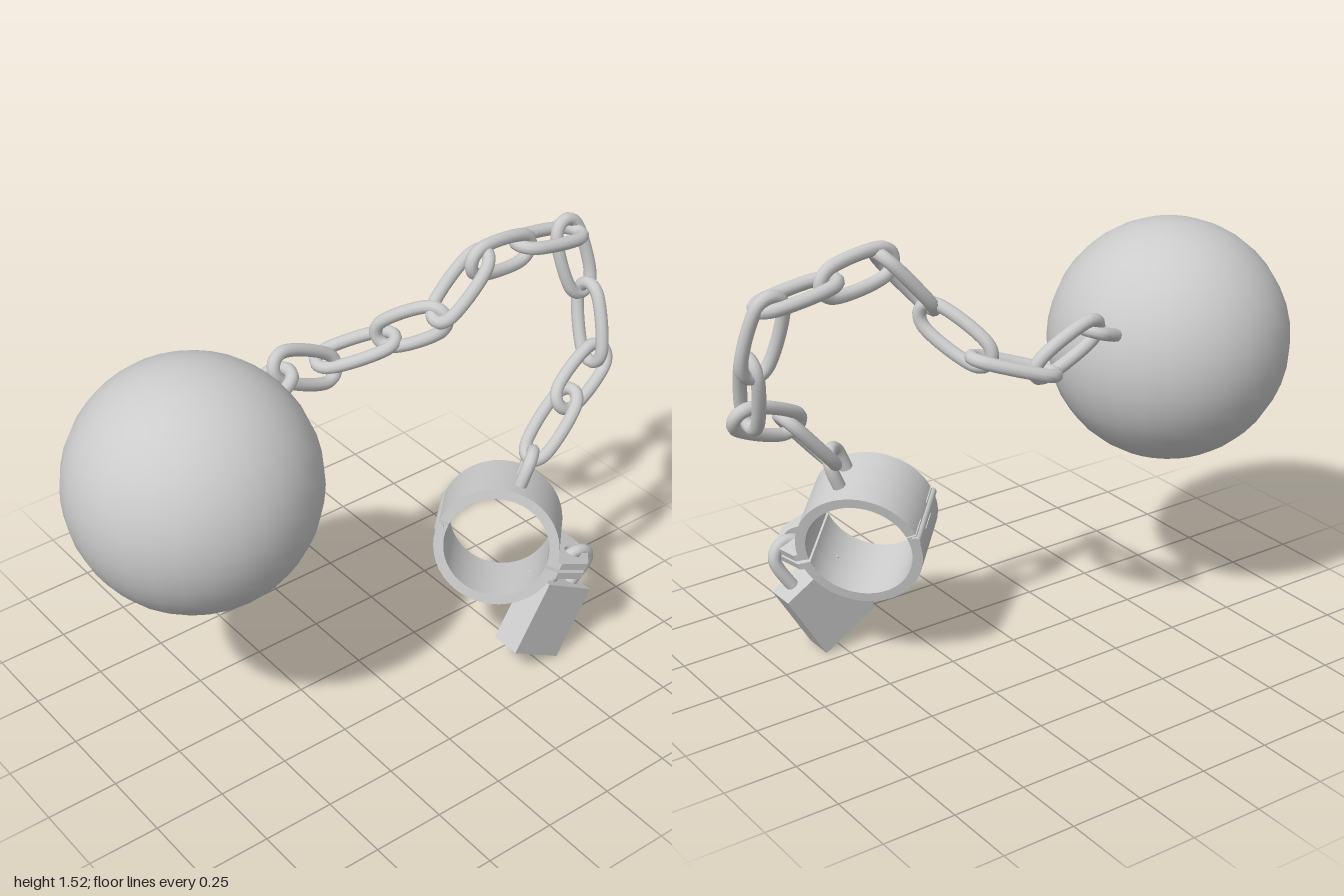
import * as THREE from 'three';
import { toCreasedNormals } from 'three/addons/utils/BufferGeometryUtils.js';

const V = (x, y, z = 0) => new THREE.Vector3(x, y, z);
const material = new THREE.MeshStandardMaterial({ color: 0xcccccc });
const TUBE = 0.022;

function mesh(name, geometry, parent) {
  const m = new THREE.Mesh(geometry, material);
  m.name = name;
  parent.add(m);
  return m;
}

// Place an object with its local x along xDir and its local y close to yHint
function orient(object, position, xDir, yHint) {
  const x = xDir.clone().normalize();
  const z = x.clone().cross(yHint).normalize();
  const y = z.clone().cross(x);
  object.quaternion.setFromRotationMatrix(new THREE.Matrix4().makeBasis(x, y, z));
  object.position.copy(position);
  return object;
}

// Closed oblong chain link, long along x and wide along y
function linkGeometry() {
  const points = [
    V(0.133, -0.018), V(0.133, 0.018), V(0.1, 0.046), V(-0.1, 0.046),
    V(-0.133, 0.018), V(-0.133, -0.018), V(-0.1, -0.046), V(0.1, -0.046),
  ];
  return new THREE.TubeGeometry(new THREE.CatmullRomCurve3(points, true), 56, TUBE, 10, true);
}

// Upside-down U of bent rod: half width w, centreline height h
function stapleGeometry(w, h) {
  const points = [V(-w, 0), V(-w, h - w)];
  for (let i = 1; i < 6; i++) {
    const t = Math.PI * (1 - i / 6);
    points.push(V(w * Math.cos(t), h - w + w * Math.sin(t)));
  }
  points.push(V(w, h - w), V(w, 0));
  return new THREE.TubeGeometry(new THREE.CatmullRomCurve3(points), 32, TUBE, 10);
}

// Sector of the cuff ring between two angles, from z0 to z0 + depth
function ringSector(inner, outer, start, end, z0, depth) {
  const shape = new THREE.Shape();
  shape.absarc(0, 0, outer, start, end, false);
  shape.absarc(0, 0, inner, end, start, true);
  const g = new THREE.ExtrudeGeometry(shape, { depth, bevelEnabled: false, curveSegments: 20 });
  g.translate(0, 0, z0);
  return toCreasedNormals(g, 0.6);
}

function createCuff() {
  const cuff = new THREE.Group();
  cuff.name = 'cuff';
  const R = 0.212, r = 0.178, half = 0.128, slice = (2 * half) / 3;

  // Two half shells whose edges interlock at the hinge
  for (let i = 0; i < 3; i++) {
    const hinge = Math.PI + (i === 1 ? 0.1 : -0.1);
    const z0 = -half + i * slice;
    mesh('upperCuffShell', ringSector(r, R, 0.03, hinge - 0.012, z0, slice), cuff);
    mesh('lowerCuffShell', ringSector(r, R, hinge + 0.012, 2 * Math.PI - 0.03, z0, slice), cuff);
  }

  // Hinge pin
  const pin = mesh('hingePin', new THREE.CylinderGeometry(0.016, 0.016, 2 * half + 0.016, 12), cuff);
  pin.rotation.x = Math.PI / 2;
  pin.position.x = -0.204;

  // Paired hasp plates with a hole for the shackle
  const plate = new THREE.Shape();
  plate.moveTo(0.195, -half);
  plate.lineTo(0.225, -half);
  plate.lineTo(0.315, -0.055);
  plate.lineTo(0.315, 0.055);
  plate.lineTo(0.225, half);
  plate.lineTo(0.195, half);
  plate.closePath();
  const hole = new THREE.Path();
  hole.absarc(0.262, 0, 0.033, 0, Math.PI * 2, true);
  plate.holes.push(hole);
  const plateGeometry = new THREE.ExtrudeGeometry(plate, { depth: 0.024, bevelEnabled: false, curveSegments: 10 });
  plateGeometry.rotateX(-Math.PI / 2);
  for (const y of [0.006, -0.03]) mesh('haspPlate', plateGeometry, cuff).position.y = y;

  // Staple that holds the chain, set along the cuff's axis
  const staple = mesh('cuffStaple', stapleGeometry(0.05, 0.13), cuff);
  staple.position.y = 0.19;
  staple.rotation.y = Math.PI / 2;
  return cuff;
}

function createPadlock() {
  const lock = new THREE.Group();
  lock.name = 'padlock';
  mesh('padlockBody', new THREE.BoxGeometry(0.23, 0.272, 0.108), lock);
  const shackle = mesh('shackle', stapleGeometry(0.056, 0.165), lock);
  shackle.position.y = 0.11;
  shackle.rotation.x = 0.2;
  return lock;
}

export function createModel() {
  const model = new THREE.Group();
  model.name = 'ballAndChain';

  // Iron ball and its staple
  const ballCentre = V(-0.595, 1.0, -0.065);
  mesh('ball', new THREE.SphereGeometry(0.41, 28, 20), model).position.copy(ballCentre);
  const out = V(0.903, 0.337, -0.268);
  const ballStaple = mesh('ballStaple', stapleGeometry(0.05, 0.13), model);
  orient(ballStaple, ballCentre.clone().addScaledVector(out, 0.375), V(0.28, 0.05, 0.957), out);

  // Chain links: centre, long axis, width direction
  const links = [
    [V(-0.05, 1.13, -0.22), V(0.24, -0.11, 0), V(0, 1, -0.3)],
    [V(0.155, 1.12, -0.22), V(0.23, 0.07, 0.12), V(-0.4, -0.12, 0.9)],
    [V(0.29, 1.215, -0.1), V(0.11, 0.13, 0.19), V(0, 1, 0)],
    [V(0.4, 1.38, 0.01), V(0.17, 0.2, 0.03), V(0, 0, 1)],
    [V(0.565, 1.44, 0.015), V(0.24, -0.03, -0.02), V(0, 1, 0)],
    [V(0.785, 1.42, 0), V(0.26, -0.04, 0), V(0, 0, 1)],
    [V(0.905, 1.31, 0), V(0.045, -0.22, 0.05), V(1, 0, 0)],
    [V(0.905, 1.1, 0.1), V(-0.03, -0.22, 0.08), V(0, 0, 1)],
    [V(0.81, 0.96, 0.175), V(-0.21, -0.09, 0.05), V(0, 1, -0.5)],
    [V(0.655, 0.845, 0.205), V(-0.155, -0.18, 0), V(0, 0, 1)],
  ];
  const link = linkGeometry();
  for (const [centre, axis, width] of links) orient(mesh('chainLink', link, model), centre, axis, width);

  // Cuff: local x points to the hasp, local y to the chain staple
  const cuff = createCuff();
  orient(cuff, V(0.448, 0.483, 0.2), V(0.62, -0.297, 0.714), V(0.36, 0.92, 0.07));
  model.add(cuff);

  // Padlock hanging from the hasp
  const lock = createPadlock();
  lock.position.set(0.537, 0.177, 0.35);
  lock.rotation.z = -0.535;
  model.add(lock);
  return model;
}
